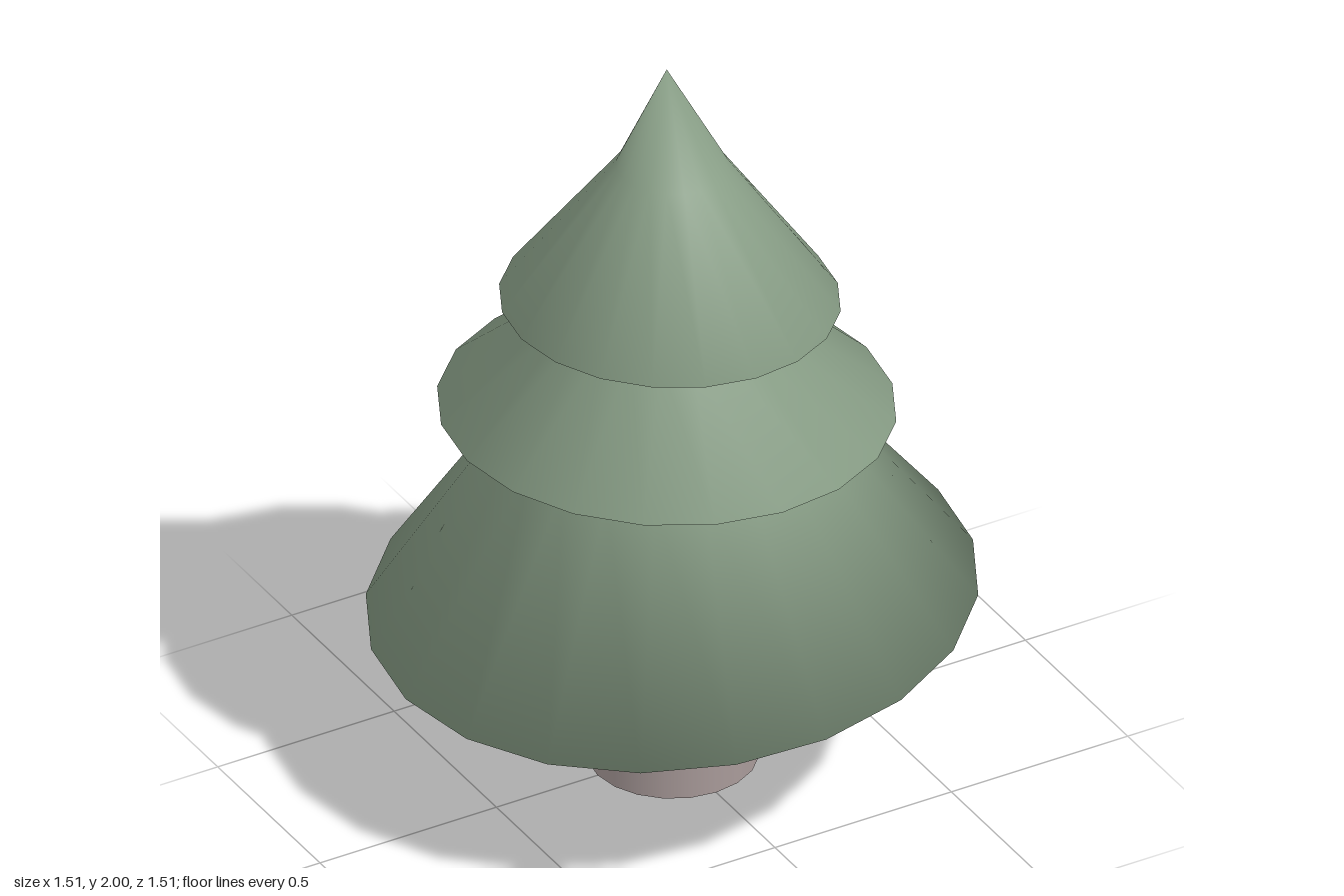
import * as THREE from 'three';
import { mergeVertices } from 'three/addons/utils/BufferGeometryUtils.js';

const SIDES = 20;

// Foliage rings from underside to tip: radius, height, x offset, slope of the ring along x
const RINGS = [
  [0.21, 0.72, 0, 0],
  [0.755, 0.46, -0.002, 0.08],
  [0.398, 0.97, -0.002, 0],
  [0.566, 1.022, -0.017, -0.031],
  [0.25, 1.297, -0.003, -0.03],
  [0.421, 1.33, -0.008, -0.036],
  [0.14, 1.715, 0, -0.036],
  [0, 2, -0.017, 0],
];

// Lathe whose rings are shifted and tilted, with normals shared across the rims
function tiltedLathe(rings) {
  const profile = rings.map(([r, y]) => new THREE.Vector2(r, y));
  const lathe = new THREE.LatheGeometry(profile, SIDES);
  const pos = lathe.attributes.position;
  for (let i = 0; i < pos.count; i++) {
    const [, y, shift, slope] = rings[i % rings.length];
    const x = pos.getX(i);
    pos.setXYZ(i, x + shift, y + x * slope, pos.getZ(i));
  }
  lathe.deleteAttribute('uv');
  lathe.deleteAttribute('normal');
  const merged = mergeVertices(lathe, 1e-4);
  merged.computeVertexNormals();
  return merged;
}

export function createModel() {
  const tree = new THREE.Group();
  tree.name = 'tree';

  // Three stacked skirts with a hollow underside
  const foliage = new THREE.Mesh(
    tiltedLathe(RINGS),
    new THREE.MeshStandardMaterial({ color: 0x8aa088, side: THREE.DoubleSide })
  );
  foliage.name = 'foliage';
  tree.add(foliage);

  // Straight trunk, reaching up into the hollow
  const trunkHeight = 0.73;
  const trunk = new THREE.Mesh(
    new THREE.CylinderGeometry(0.213, 0.213, trunkHeight, SIDES),
    new THREE.MeshStandardMaterial({ color: 0xa89a99 })
  );
  trunk.position.y = trunkHeight / 2;
  trunk.name = 'trunk';
  tree.add(trunk);

  return tree;
}
